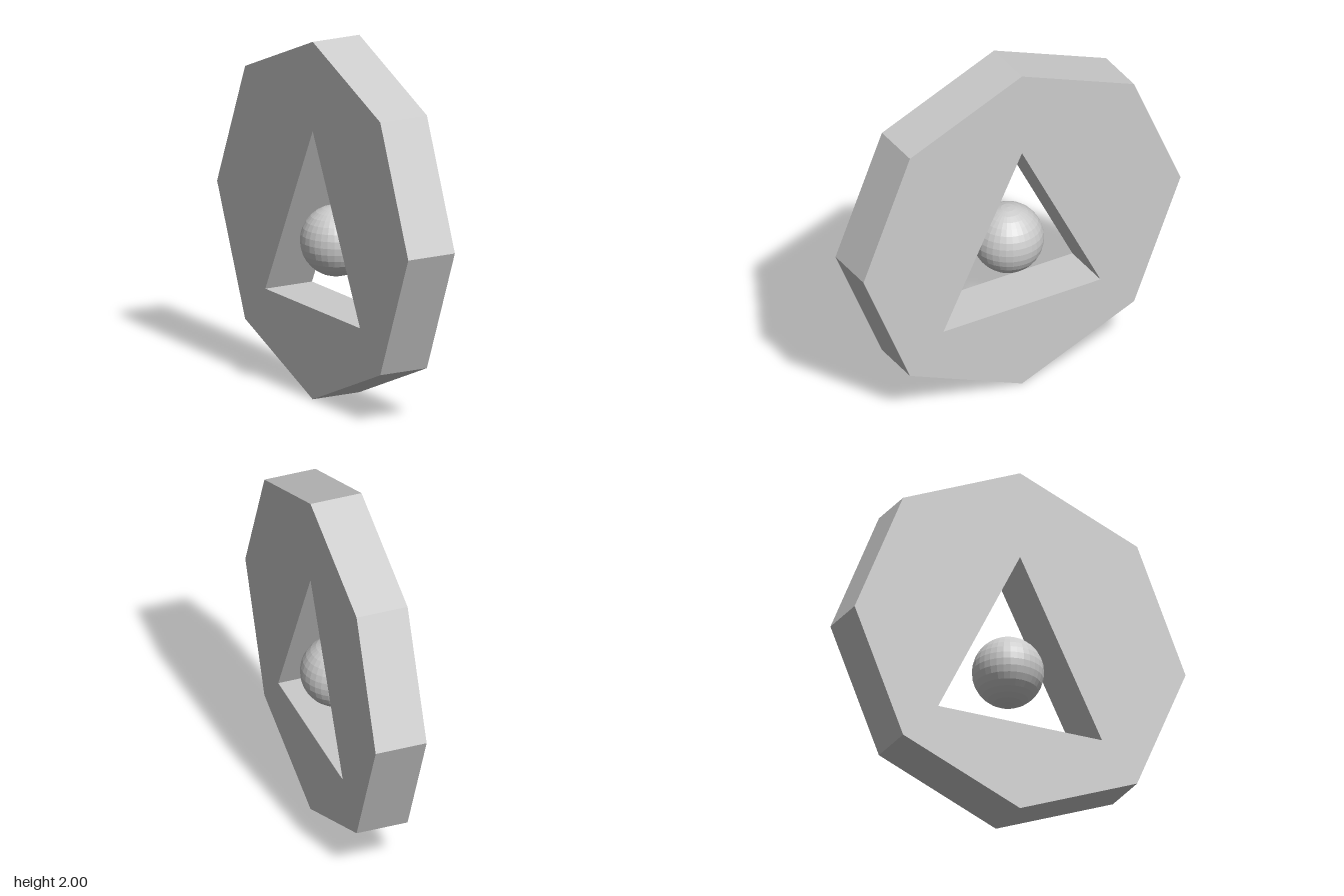
import * as THREE from 'three';

const THICKNESS = 0.295;

export function createModel() {
  const group = new THREE.Group();
  const material = new THREE.MeshStandardMaterial({ color: 0xcccccc, flatShading: true });

  // Octagonal plate standing on one corner, with a triangular window
  const outline = new THREE.Shape();
  for (let i = 0; i < 8; i++) {
    const a = (i * Math.PI) / 4;
    const x = Math.cos(a), y = 1 + Math.sin(a);
    if (i === 0) outline.moveTo(x, y);
    else outline.lineTo(x, y);
  }
  outline.closePath();

  const opening = new THREE.Path();
  opening.moveTo(0, 1.5);
  opening.lineTo(-0.495, 0.508);
  opening.lineTo(0.495, 0.508);
  opening.closePath();
  outline.holes.push(opening);

  const plateGeometry = new THREE.ExtrudeGeometry(outline, { depth: THICKNESS, bevelEnabled: false });
  plateGeometry.translate(0, 0, -THICKNESS / 2);
  plateGeometry.rotateY(Math.PI / 2); // thickness runs along x
  const plate = new THREE.Mesh(plateGeometry, material);
  plate.name = 'octagonPlate';
  group.add(plate);

  // Ball floating in the window
  const ball = new THREE.Mesh(new THREE.SphereGeometry(0.196, 32, 16), material);
  ball.name = 'ball';
  ball.position.y = 0.87;
  group.add(ball);

  return group;
}
